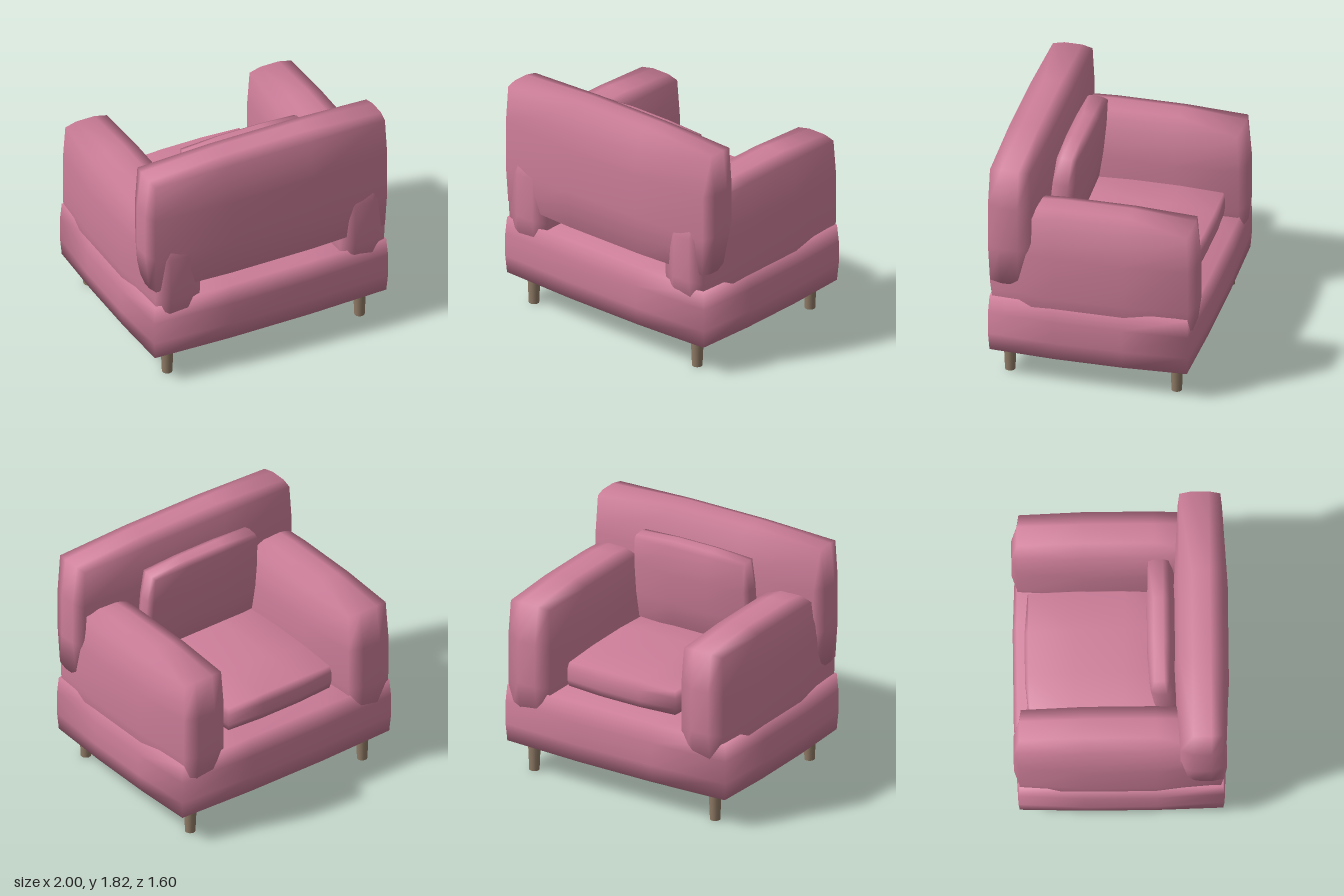
import * as THREE from 'three';
import { mergeVertices } from 'three/addons/utils/BufferGeometryUtils.js';

const fabric = new THREE.MeshStandardMaterial({ color: 0xcd7e99 });
fabric.name = 'rose fabric';
const wood = new THREE.MeshStandardMaterial({ color: 0x8f7a65 });
wood.name = 'brown wood';

// Padded block: a 3x3x3 box whose edges and corners are drawn in so the faces bulge
function paddedBlock(name, [x0, x1], [y0, y1], [z0, z1], inset) {
  const half = [(x1 - x0) / 2, (y1 - y0) / 2, (z1 - z0) / 2];
  let geo = new THREE.BoxGeometry(2, 2, 2, 3, 3, 3);
  geo.deleteAttribute('normal');
  geo.deleteAttribute('uv');
  geo = mergeVertices(geo);
  const pos = geo.attributes.position;
  for (let i = 0; i < pos.count; i++) {
    const p = [pos.getX(i), pos.getY(i), pos.getZ(i)];
    const outer = p.filter((c) => Math.abs(c) > 0.9).length;
    const pull = [0, 0, 1, 1.35][outer] * inset;
    const q = p.map((c, k) => c * half[k] - (Math.abs(c) > 0.9 ? Math.sign(c) * pull : 0));
    pos.setXYZ(i, q[0], q[1], q[2]);
  }
  geo.computeVertexNormals();
  const mesh = new THREE.Mesh(geo, fabric);
  mesh.name = name;
  mesh.position.set((x0 + x1) / 2, (y0 + y1) / 2, (z0 + z1) / 2);
  return mesh;
}

export function createModel() {
  const chair = new THREE.Group();
  chair.name = 'armchair';

  // Upholstered body; the backrest stands on the +z side
  chair.add(paddedBlock('base', [-1, 1], [0.2, 0.73], [-0.79, 0.79], 0.028));
  chair.add(paddedBlock('backrest', [-1, 1], [0.78, 1.82], [0.4, 0.8], 0.036));
  chair.add(paddedBlock('leftArm', [0.54, 0.992], [0.41, 1.435], [-0.795, 0.78], 0.04));
  chair.add(paddedBlock('rightArm', [-0.992, -0.54], [0.41, 1.435], [-0.795, 0.78], 0.04));

  // Loose cushions
  chair.add(paddedBlock('seatCushion', [-0.505, 0.505], [0.74, 1.0], [-0.705, 0.4], 0.026));
  const pillow = paddedBlock('backPillow', [-0.505, 0.505], [0.95, 1.68], [0.21, 0.43], 0.025);
  pillow.rotation.x = -0.1;
  chair.add(pillow);

  // Tapered legs
  const legGeo = new THREE.CylinderGeometry(0.048, 0.039, 0.21, 16);
  for (const x of [-0.8, 0.8]) {
    for (const z of [-0.635, 0.635]) {
      const leg = new THREE.Mesh(legGeo, wood);
      leg.name = 'leg';
      leg.position.set(x, 0.105, z);
      chair.add(leg);
    }
  }
  return chair;
}
